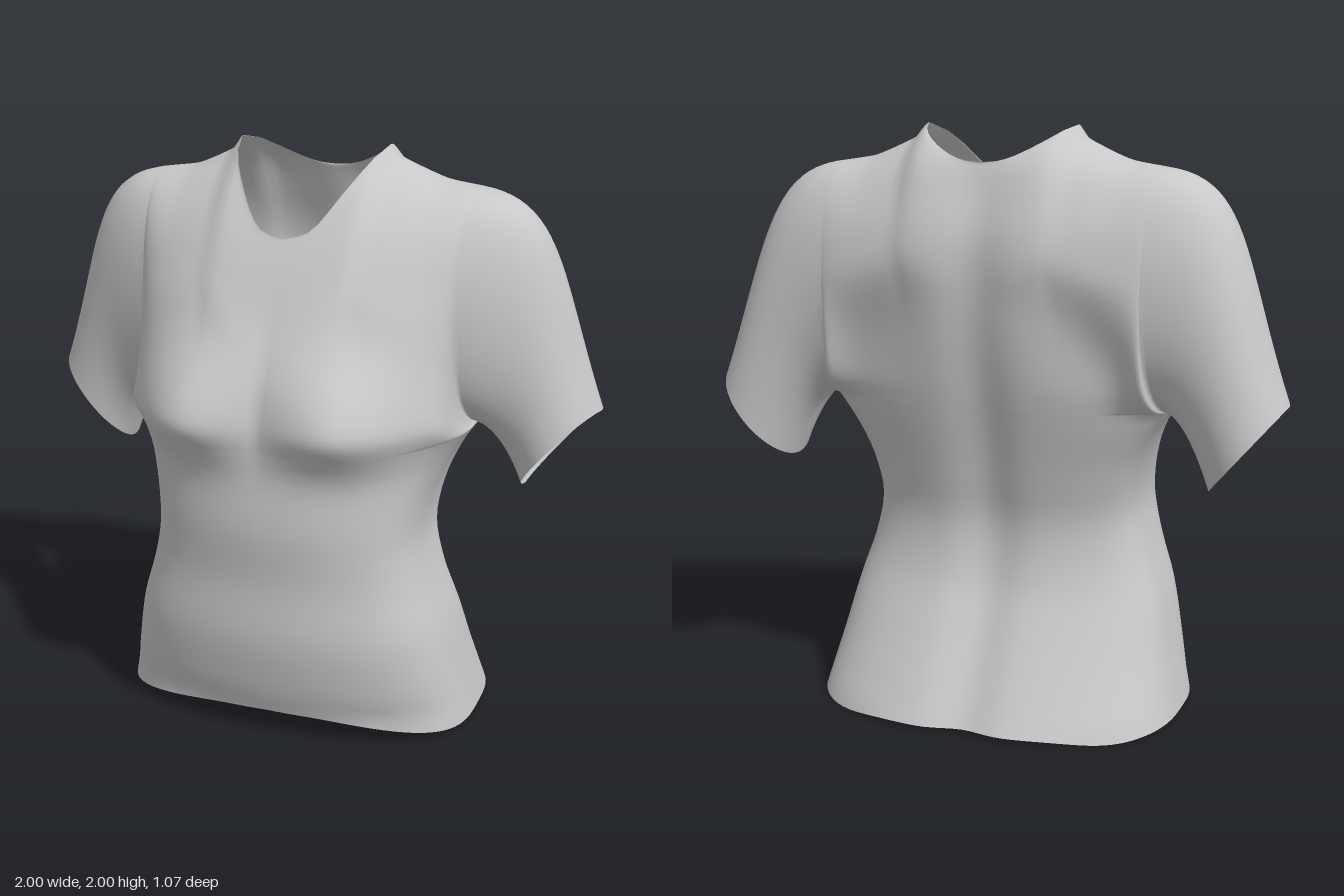
import * as THREE from 'three';
import { mergeVertices } from 'three/addons/utils/BufferGeometryUtils.js';

// Smooth curve through [position, value] pairs, held flat beyond its ends
function curve(...p) {
  const last = p.length - 1;
  const slope = (i) => {
    const a = p[Math.max(i - 1, 0)], b = p[Math.min(i + 1, last)];
    return (b[1] - a[1]) / (b[0] - a[0]);
  };
  return (t) => {
    if (t <= p[0][0]) return p[0][1];
    if (t >= p[last][0]) return p[last][1];
    let i = 0;
    while (t > p[i + 1][0]) i++;
    const h = p[i + 1][0] - p[i][0], k = (t - p[i][0]) / h, k2 = k * k, k3 = k2 * k;
    return p[i][1] * (2 * k3 - 3 * k2 + 1) + slope(i) * h * (k3 - 2 * k2 + k)
      + p[i + 1][1] * (3 * k2 - 2 * k3) + slope(i + 1) * h * (k3 - k2);
  };
}

const { lerp, smoothstep } = THREE.MathUtils;
const bell = (d, size) => Math.exp(-((d / size) ** 2));

const COLS = 32, NECK_COL = 10, LOW_ROWS = 28, TOP_ROWS = 32, SLEEVE_STEPS = 22;
const ARMPIT_Y = 1.08, ARM_Z = -0.13;

// Torso profiles by height: side outline, inner width that ignores the armpit flare, and depths
const sideX = curve([0, 0.645], [0.2, 0.6], [0.4, 0.555], [0.55, 0.505], [0.7, 0.47], [0.8, 0.475], [0.9, 0.5], [1, 0.545], [1.08, 0.6]);
const coreX = curve([0, 0.645], [0.2, 0.6], [0.4, 0.555], [0.55, 0.51], [0.7, 0.483], [0.8, 0.485], [0.95, 0.505], [1.1, 0.53], [1.4, 0.55], [1.7, 0.56]);
const sideZ = curve([0, -0.08], [0.3, -0.02], [0.65, 0.01], [0.85, -0.05], [1, -0.115], [1.08, ARM_Z]);
const frontZ = curve([0.1, 0.39], [0.2, 0.425], [0.39, 0.46], [0.6, 0.46], [0.81, 0.48], [1, 0.465], [1.18, 0.43], [1.31, 0.4], [1.44, 0.35], [1.68, 0.24], [1.86, 0.1], [2, -0.08]);
const backZ = curve([0.02, -0.54], [0.15, -0.46], [0.31, -0.365], [0.465, -0.286], [0.65, -0.254], [0.83, -0.285], [1.2, -0.375], [1.44, -0.415], [1.63, -0.415], [1.79, -0.365], [1.9, -0.31], [2, -0.2]);

// Armhole width from armpit (0) to shoulder (1)
const armholeX = curve([0, 0.6], [0.25, 0.56], [0.5, 0.55], [1, 0.56]);

// Hem, neckline and shoulder seam by distance from the middle
const hemY = curve([0, 0.1], [0.2, 0.092], [0.4, 0.065], [0.64, 0.02]);
const neckFrontY = curve([0, 1.73], [0.04, 1.735], [0.1, 1.765], [0.177, 1.875], [0.26, 2]);
const neckFrontZ = curve([0, 0.22], [0.1, 0.195], [0.19, 0.1], [0.24, 0], [0.26, -0.1]);
const neckBackY = curve([0, 1.885], [0.06, 1.89], [0.12, 1.91], [0.2, 1.955], [0.26, 2]);
const neckBackZ = curve([0, -0.31], [0.1, -0.3], [0.19, -0.25], [0.24, -0.18], [0.26, -0.1]);
const shoulderY = curve([0.26, 2], [0.285, 1.965], [0.33, 1.94], [0.4, 1.908], [0.45, 1.89], [0.56, 1.872]);
const shoulderZ = curve([0.26, -0.1], [0.4, -0.12], [0.56, ARM_Z]);

// Depth of the torso; g runs from the middle (0) to the side (1)
function depth(x, y, g, s, side) {
  const c = Math.sqrt(Math.max(0, 1 - g * g));
  const edge = s > 0 ? ARM_Z : sideZ(y);
  const swell = Math.max(0, Math.sin(Math.PI * s)) ** 0.8;
  const open = swell * g ** lerp(14, 2, smoothstep(s, 0, 0.55));
  const upper = smoothstep(s, 0.15, 0.6);
  if (side > 0) {
    const bust = 0.15 * bell(x - 0.29, 0.25) * bell(y - 1.18, y > 1.18 ? 0.25 : 0.14) * (1 - g ** 12);
    return edge + (frontZ(y) - edge) * c ** lerp(0.58, 1.7, upper) + 0.25 * open + bust;
  }
  const spine = 0.035 * bell(x, 0.1) * (1 - g ** 12);
  return edge + (backZ(y) - edge) * c ** lerp(0.7, 1.9, upper) - 0.235 * open + spine;
}

// Half panel of the torso: column i from middle to side, row j from hem to top
function bodyPoint(i, j, side) {
  const g = i === COLS ? 1 : Math.sin((i / COLS) * Math.PI / 2);
  const across = (y, edge) => lerp(coreX(y) * g, edge * g, g ** 9);
  if (j <= LOW_ROWS) {
    const hem = side > 0 ? hemY(g * 0.64) : 0.02 - 0.018 * bell(g - 0.8, 0.25) * (1 - g ** 8);
    const y = lerp(hem, ARMPIT_Y, j / LOW_ROWS), x = across(y, sideX(y));
    return [x, y, depth(x, y, g, 0, side)];
  }
  const s = (j - LOW_ROWS) / TOP_ROWS;
  const topX = armholeX(1) * g, neck = i <= NECK_COL;
  const topY = (neck ? (side > 0 ? neckFrontY : neckBackY) : shoulderY)(topX);
  const topZ = (neck ? (side > 0 ? neckFrontZ : neckBackZ) : shoulderZ)(topX);
  const y = lerp(ARMPIT_Y, topY, (1 - Math.cos(Math.PI * s)) / 2);
  const x = across(y, armholeX(s));
  const fit = topZ - depth(topX, topY, g, 1, side);
  return [x, y, depth(x, y, g, s, side) + fit * s ** 4];
}

// Half sleeve: step i from armhole to cuff, row j from underarm to shoulder
function sleevePoint(i, j, side) {
  const s = j / TOP_ROWS, a = Math.PI * s, sn = Math.sin(a), cs = Math.cos(a);
  const start = new THREE.Vector3(...bodyPoint(COLS, LOW_ROWS + j, side));
  const dip = side > 0 ? 0.028 * sn : 0;
  const end = new THREE.Vector3(0.875 - 0.125 * cs - dip, 0.985 - 0.147 * cs + dip, -0.18 + side * 0.18 * sn);
  const reach = start.distanceTo(end);
  const out = new THREE.Vector3(1, -0.1 - 0.1 * sn, (side > 0 ? -0.35 : 0.1) * sn).multiplyScalar(reach * lerp(0.25, 0.33, s));
  const down = new THREE.Vector3(0.34, -0.94, -0.03).multiplyScalar(reach * lerp(0.35, 0.58, s));
  const path = new THREE.CubicBezierCurve3(start, start.clone().add(out), end.clone().sub(down), end);
  return path.getPoint(i / SLEEVE_STEPS).toArray();
}

export function createModel() {
  const position = [], index = [];

  // Adds a grid of points; side is front (1) or back (-1), mirror is left (1) or right (-1)
  function addPanel(point, cols, rows, side, mirror) {
    const base = position.length / 3, w = cols + 1;
    for (let j = 0; j <= rows; j++) {
      for (let i = 0; i <= cols; i++) {
        const [x, y, z] = point(i, j, side).map((n) => Math.round(n * 1e5) / 1e5);
        position.push(x * mirror, y, z);
      }
    }
    for (let j = 0; j < rows; j++) {
      for (let i = 0; i < cols; i++) {
        const a = base + j * w + i, b = a + 1, c = b + w, d = a + w;
        if (side * mirror > 0) index.push(a, b, c, a, c, d);
        else index.push(a, c, b, a, d, c);
      }
    }
  }

  const parts = [];
  function addPart(name, build) {
    const from = index.length;
    build();
    parts.push({ name, from, to: index.length });
  }

  addPart('body', () => {
    for (const mirror of [1, -1]) for (const side of [1, -1]) addPanel(bodyPoint, COLS, LOW_ROWS + TOP_ROWS, side, mirror);
  });
  for (const [name, mirror] of [['leftSleeve', 1], ['rightSleeve', -1]]) {
    addPart(name, () => {
      for (const side of [1, -1]) addPanel(sleevePoint, SLEEVE_STEPS, TOP_ROWS, side, mirror);
    });
  }

  // Weld the panels so the shading runs smoothly across every seam
  let cloth = new THREE.BufferGeometry();
  cloth.setAttribute('position', new THREE.Float32BufferAttribute(position, 3));
  cloth.setIndex(index);
  cloth = mergeVertices(cloth, 1e-4);
  cloth.computeVertexNormals();

  const fabric = new THREE.MeshStandardMaterial({ color: 0xc8c8c8, side: THREE.DoubleSide });
  fabric.name = 'grey fabric';

  const shirt = new THREE.Group();
  shirt.name = 'shirt';
  const welded = Array.from(cloth.index.array);
  for (const { name, from, to } of parts) {
    const piece = cloth.clone();
    piece.setIndex(welded.slice(from, to));
    const mesh = new THREE.Mesh(piece.toNonIndexed(), fabric);
    mesh.name = name;
    shirt.add(mesh);
  }
  return shirt;
}
